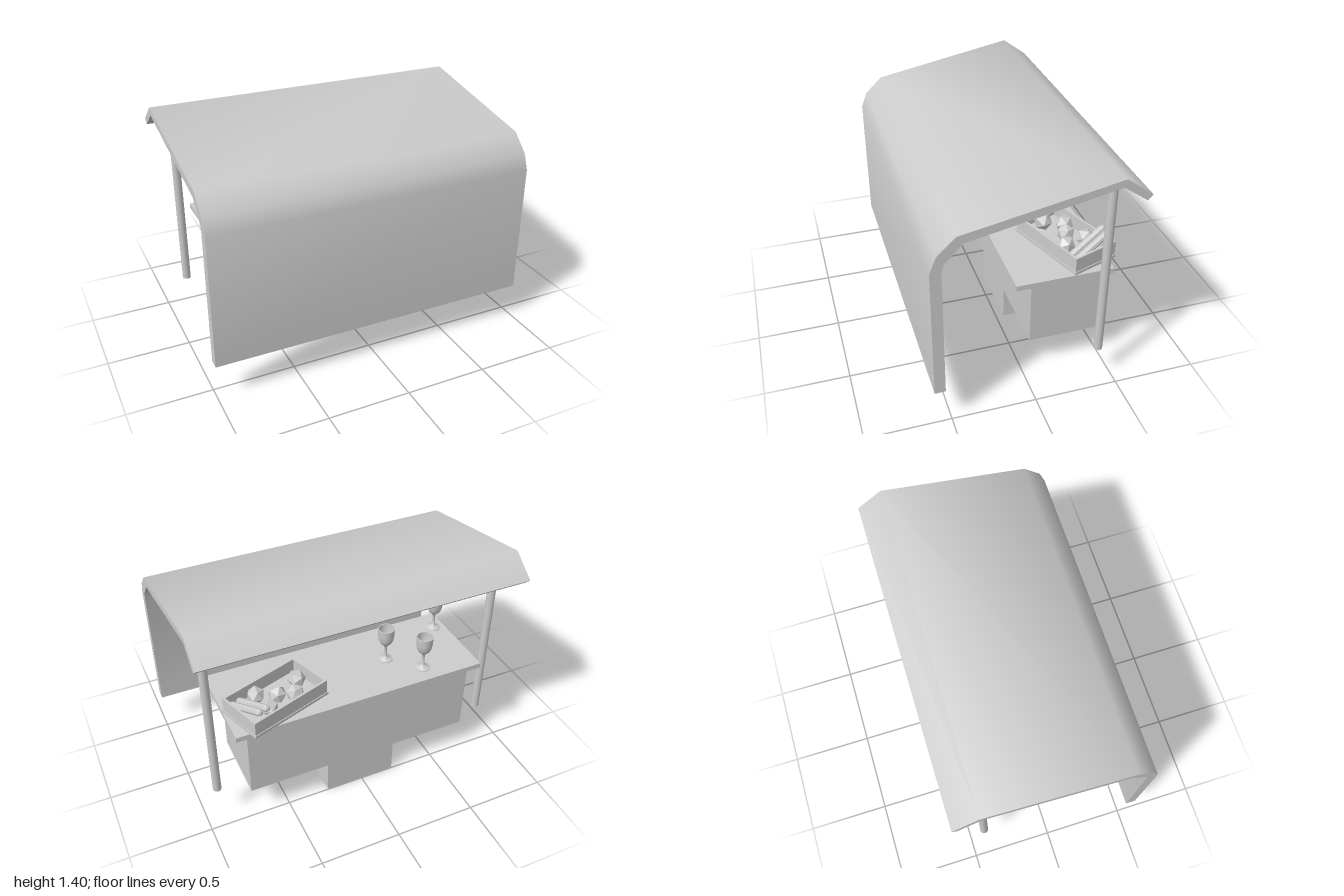
import * as THREE from 'three';
import { toCreasedNormals } from 'three/addons/utils/BufferGeometryUtils.js';

const grey = new THREE.MeshStandardMaterial({ color: 0xcccccc });
const greyFlat = new THREE.MeshStandardMaterial({ color: 0xcccccc, flatShading: true });
const greyDouble = new THREE.MeshStandardMaterial({ color: 0xcccccc, side: THREE.DoubleSide });

function add(parent, name, geometry, x = 0, y = 0, z = 0, material = grey) {
  const mesh = new THREE.Mesh(geometry, material);
  mesh.name = name;
  mesh.position.set(x, y, z);
  parent.add(mesh);
  return mesh;
}

// Box given by its limits on each axis
function addBox(parent, name, [x0, x1], [y0, y1], [z0, z1], material = grey) {
  const geometry = new THREE.BoxGeometry(x1 - x0, y1 - y0, z1 - z0);
  return add(parent, name, geometry, (x0 + x1) / 2, (y0 + y1) / 2, (z0 + z1) / 2, material);
}

// Front wall and roof: one bent sheet, its (z, y) profile run along x
function canopyGeometry() {
  const profile = [
    [0.593, 0.222], [0.593, 1.035], [0.556, 1.13], [0.45, 1.232], [-0.437, 1.402], [-0.591, 1.286],
    [-0.561, 1.256], [-0.423, 1.356], [0.413, 1.186], [0.517, 1.08], [0.53, 1.035], [0.53, 0.222],
  ];
  const shape = new THREE.Shape(profile.map(([z, y]) => new THREE.Vector2(-z, y)));
  const geometry = new THREE.ExtrudeGeometry(shape, { depth: 2, bevelEnabled: false });
  geometry.translate(0, 0, -1).rotateY(Math.PI / 2);
  return toCreasedNormals(geometry, 1.0);
}

// Stemmed glass with a hollow bowl, standing on y = 0
function glassGeometry() {
  const profile = [
    [0, 0], [0.047, 0], [0.047, 0.005], [0.02, 0.014], [0.01, 0.028], [0.008, 0.09], [0.014, 0.107],
    [0.034, 0.126], [0.045, 0.15], [0.05, 0.185], [0.051, 0.232],
    [0.046, 0.232], [0.045, 0.185], [0.038, 0.15], [0.025, 0.13], [0, 0.12],
  ];
  return toCreasedNormals(
    new THREE.LatheGeometry(profile.map(([r, y]) => new THREE.Vector2(r, y)), 20), 0.9);
}

// Open crate with fruit and two long loaves leaning over its rim
function createCrate() {
  const crate = new THREE.Group();
  crate.name = 'crate';
  const w = 0.27, d = 0.148, t = 0.014, h = 0.105;
  addBox(crate, 'crateFloor', [-w - 0.005, w + 0.005], [0, 0.017], [-d - 0.005, d + 0.005]);
  for (const s of [-1, 1]) {
    add(crate, 'crateLongWall', new THREE.BoxGeometry(2 * w, h - 0.017, t), 0, (h + 0.017) / 2, s * (d - t / 2));
    add(crate, 'crateShortWall', new THREE.BoxGeometry(t, h - 0.017, 2 * (d - t)), s * (w - t / 2), (h + 0.017) / 2, 0);
  }
  const fruit = new THREE.IcosahedronGeometry(0.057, 0);
  [[-0.18, 0.02], [-0.09, -0.07], [-0.005, -0.01], [0.09, 0.07], [0.1, -0.07]].forEach(([x, z], i) => {
    add(crate, 'fruit', fruit, x, 0.07, z, greyFlat).rotation.set(i, i * 1.7, 0);
  });
  const loaf = new THREE.CapsuleGeometry(0.022, 0.27, 2, 8);
  for (const x of [0.17, 0.22]) {
    add(crate, 'loaf', loaf, x, 0.095, -0.005, greyFlat).rotation.x = -Math.PI / 2 + 0.41;
  }
  return crate;
}

export function createModel() {
  const model = new THREE.Group();
  model.name = 'marketStall';

  add(model, 'canopy', canopyGeometry());

  // Rear posts
  for (const x of [-0.882, 0.917]) {
    add(model, 'post', new THREE.CylinderGeometry(0.026, 0.026, 1.135, 16), x, 0.7925, -0.405);
  }

  // Foot block, and the counter body that is open underneath
  addBox(model, 'foot', [-0.215, 0.235], [0, 0.45], [-0.497, -0.049]);
  const body = addBox(model, 'counterBody', [-0.71, 0.735], [0.213, 0.66], [-0.498, -0.048], greyDouble);
  const faces = Array.from(body.geometry.index.array);
  body.geometry.setIndex([...faces.slice(0, 18), ...faces.slice(24)]);
  body.geometry.clearGroups();
  addBox(model, 'counterTop', [-0.79, 0.805], [0.66, 0.693], [-0.52, 0.067]);

  // Goods on the counter
  const glass = glassGeometry();
  for (const [x, z] of [[-0.715, -0.068], [-0.275, -0.233], [-0.446, -0.402]]) {
    add(model, 'glass', glass, x, 0.693, z);
  }
  const crate = createCrate();
  crate.position.set(0.495, 0.694, -0.337);
  crate.rotation.y = 0.33;
  model.add(crate);

  return model;
}
